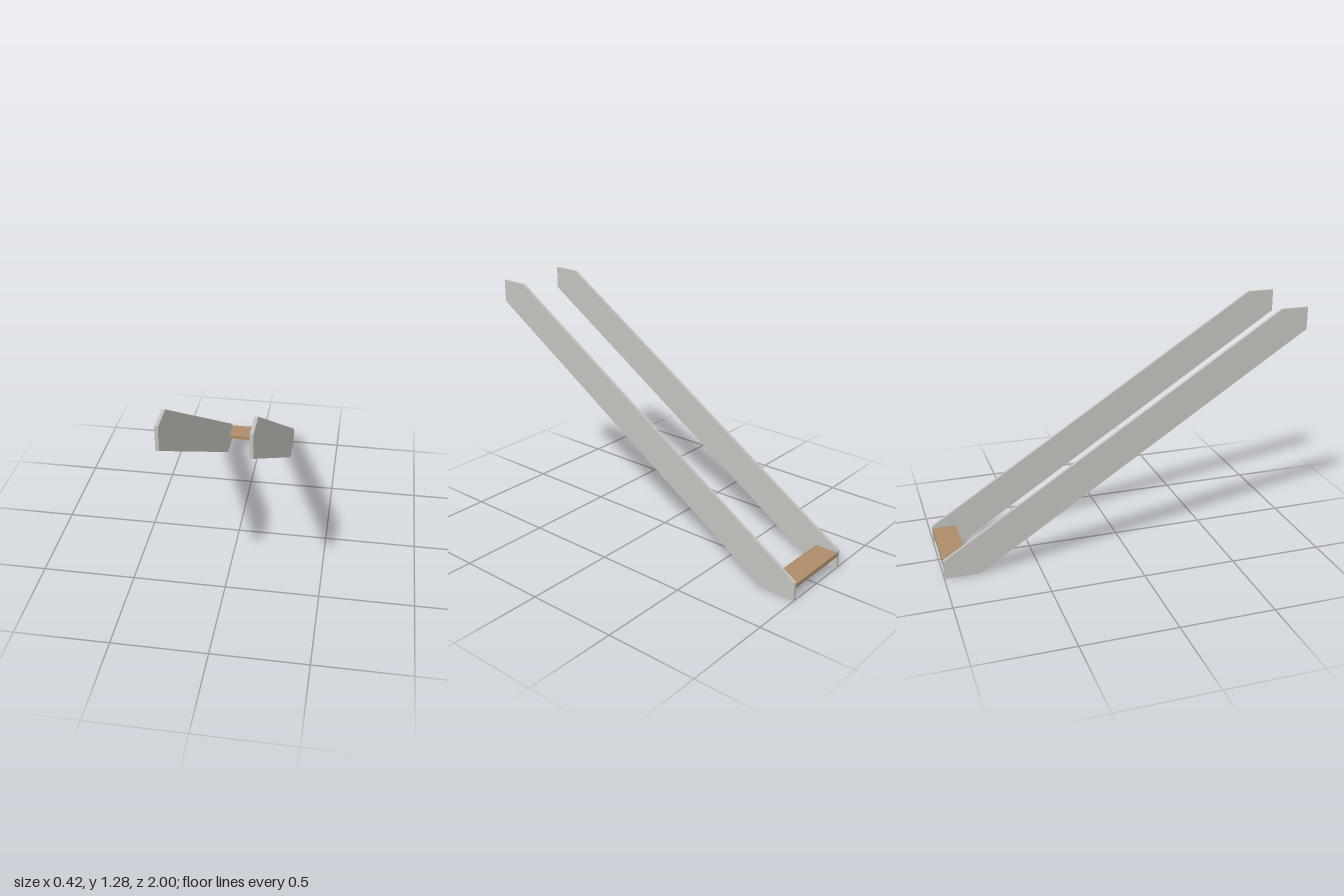
import * as THREE from 'three';

export function createModel() {
  const model = new THREE.Group();
  model.name = 'stairFrame';

  const metal = new THREE.MeshStandardMaterial({ color: 0xc2c2be });
  metal.name = 'paleGrey';
  const wood = new THREE.MeshStandardMaterial({ color: 0xad8d6c });
  wood.name = 'wood';

  const outer = 0.212, thickness = 0.016;

  // Side plate outline as (z, y), cut level at foot and head
  const outline = [
    [-0.81, 0], [1, 1.165], [1, 1.285], [0.85, 1.285], [-1, 0.1], [-1, 0],
  ].map(([z, y]) => new THREE.Vector2(z, y));
  const plate = new THREE.ExtrudeGeometry(new THREE.Shape(outline), {
    depth: thickness, bevelEnabled: false,
  });
  plate.rotateY(-Math.PI / 2).translate(thickness / 2, 0, 0);

  // Mirrored pair of sloping stringers
  for (const [name, side] of [['leftStringer', 1], ['rightStringer', -1]]) {
    const stringer = new THREE.Mesh(plate, metal);
    stringer.name = name;
    stringer.position.x = side * (outer - thickness / 2);
    model.add(stringer);
  }

  // Single bottom tread between the stringers
  const tread = new THREE.Mesh(
    new THREE.BoxGeometry(2 * (outer - thickness), 0.023, 0.13), wood);
  tread.name = 'bottomTread';
  tread.position.set(0, 0.0785, -0.935);
  model.add(tread);

  return model;
}
